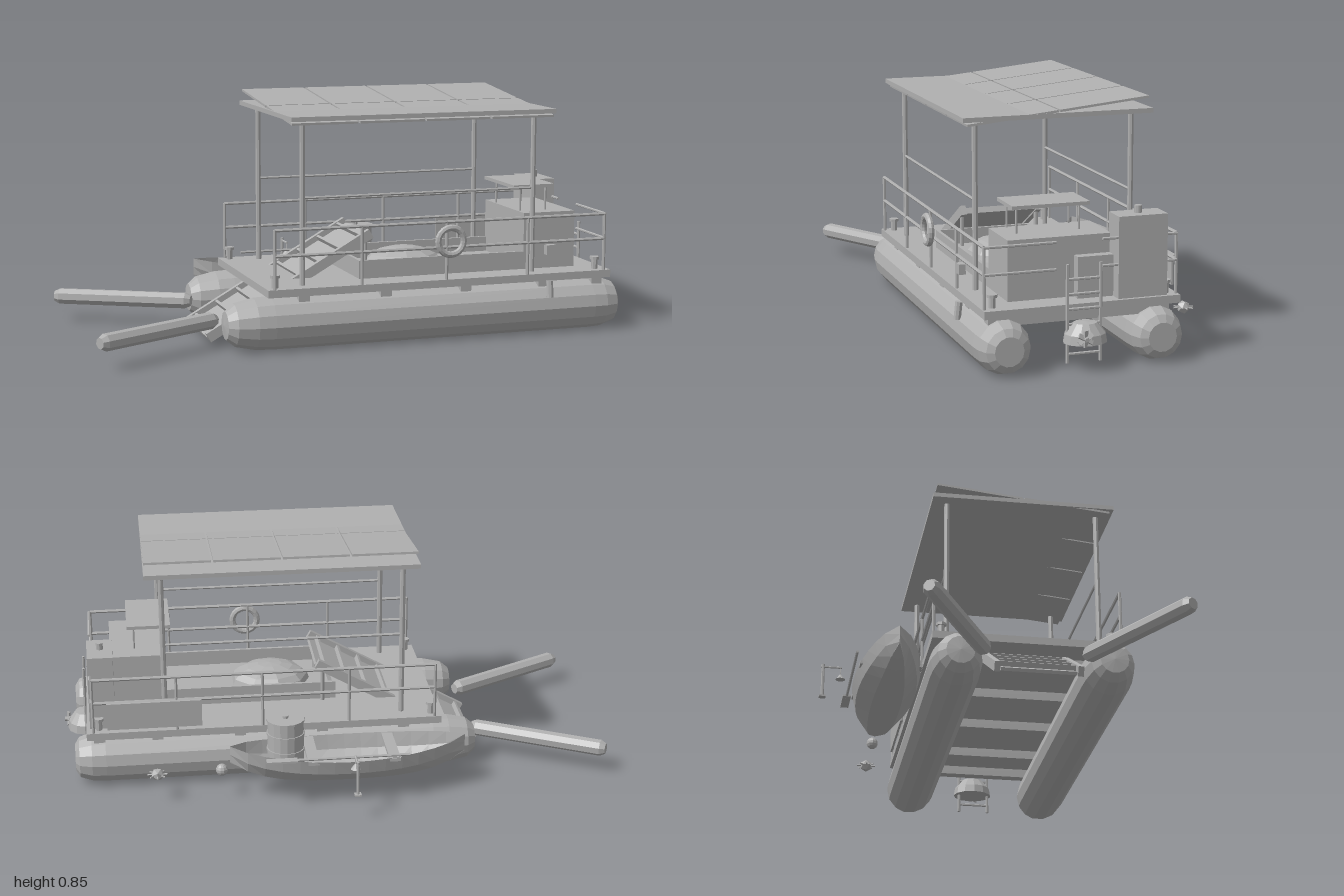
import * as THREE from 'three';

export function createModel() {
  const root = new THREE.Group();
  root.name = 'pontoonBoat';
  const grey = new THREE.MeshStandardMaterial({ color: 0xb0b0b0, flatShading: true, side: THREE.DoubleSide });
  grey.name = 'grey';

  const add = (name, geo, x = 0, y = 0, z = 0) => {
    const m = new THREE.Mesh(geo, grey);
    m.name = name;
    m.position.set(x, y, z);
    root.add(m);
    return m;
  };
  // Box from minimum and maximum corners
  const box = (name, x0, x1, y0, y1, z0, z1) =>
    add(name, new THREE.BoxGeometry(x1 - x0, y1 - y0, z1 - z0), (x0 + x1) / 2, (y0 + y1) / 2, (z0 + z1) / 2);
  // Round bar between two points
  const bar = (name, a, b, r, sides = 6) => {
    const p = new THREE.Vector3(...a), q = new THREE.Vector3(...b);
    const d = q.clone().sub(p);
    const m = add(name, new THREE.CylinderGeometry(r, r, d.length(), sides));
    m.position.copy(p).add(q).multiplyScalar(0.5);
    m.quaternion.setFromUnitVectors(new THREE.Vector3(0, 1, 0), d.normalize());
    return m;
  };
  const lathe = (pts, sides) => new THREE.LatheGeometry(pts.map(p => new THREE.Vector2(...p)), sides);

  // Twin floats with rounded ends
  const floatShape = lathe([[0, -0.525], [0.05, -0.52], [0.075, -0.49], [0.09, -0.42],
    [0.093, -0.36], [0.093, 0.84], [0.09, 0.89], [0.075, 0.935], [0.05, 0.95], [0, 0.95]], 14);
  floatShape.rotateZ(-Math.PI / 2);
  for (const z of [0.4, -0.13]) add('pontoon', floatShape, 0, 0.098, z);

  // Collecting booms spread ahead of the floats
  for (const s of [1, -1]) {
    const zc = 0.125;
    const a = new THREE.Vector3(-0.53, 0.1, zc + s * 0.175), b = new THREE.Vector3(-0.985, 0.1, zc + s * 0.425);
    const L = a.distanceTo(b);
    const boom = add('boom', lathe([[0, -L / 2], [0.02, -L / 2], [0.03, -L / 2 + 0.02],
      [0.03, L / 2 - 0.02], [0.02, L / 2], [0, L / 2]], 8));
    boom.position.copy(a).add(b).multiplyScalar(0.5);
    boom.quaternion.setFromUnitVectors(new THREE.Vector3(0, 1, 0), b.sub(a).normalize());
  }

  // Deck and cross beams
  box('deck', -0.385, 0.905, 0.198, 0.225, -0.21, 0.47);
  for (const x of [-0.25, 0.05, 0.35, 0.65, 0.86]) box('crossBeam', x - 0.02, x + 0.02, 0.165, 0.198, -0.18, 0.45);

  // Inclined conveyor running from the water up over the deck
  const slope = Math.atan2(0.34, 0.6), len = 0.69;
  const conveyor = new THREE.Group();
  conveyor.name = 'conveyor';
  const part = (name, w, h, d, x, y, z) => {
    const m = new THREE.Mesh(new THREE.BoxGeometry(w, h, d), grey);
    m.name = name;
    m.position.set(x, y, z);
    conveyor.add(m);
  };
  part('belt', len, 0.012, 0.26, 0, 0, 0);
  for (const z of [-0.143, 0.143]) part('conveyorSide', len, 0.035, 0.02, 0, 0.008, z);
  for (let i = 0; i < 8; i++) part('cleat', 0.01, 0.02, 0.26, -0.31 + i * 0.089, 0.014, 0);
  conveyor.position.set(-0.245, 0.195, 0.132);
  conveyor.rotation.z = slope;
  root.add(conveyor);
  for (const z of [-0.01, 0.275]) bar('conveyorLeg', [0.03, 0.225, z], [0.03, 0.345, z], 0.008);

  // Open waste bin with a low heap inside
  box('binFloor', -0.02, 0.62, 0.225, 0.235, 0, 0.36);
  for (const z of [0, 0.348]) box('binSide', -0.02, 0.8, 0.225, 0.29, z, z + 0.012);
  box('binEnd', -0.02, -0.008, 0.225, 0.29, 0, 0.36);
  const heap = add('wasteHeap', new THREE.SphereGeometry(1, 9, 5, 0, Math.PI * 2, 0, Math.PI / 2), 0.21, 0.235, 0.18);
  heap.scale.set(0.15, 0.07, 0.13);

  // Control cabin with a small canopy
  box('cabin', 0.61, 0.81, 0.225, 0.43, 0, 0.36);
  box('locker', 0.76, 0.845, 0.225, 0.365, 0.0, 0.13);
  box('canopy', 0.585, 0.745, 0.515, 0.527, 0.05, 0.322);
  for (const x of [0.62, 0.72]) for (const z of [0.08, 0.3]) bar('canopyPost', [x, 0.43, z], [x, 0.515, z], 0.004);

  // Engine housing and exhaust
  box('engineHousing', 0.8, 0.892, 0.225, 0.5, -0.167, 0.005);
  bar('exhaust', [0.845, 0.5, -0.08], [0.845, 0.525, -0.08], 0.013, 10);

  // Roof, its posts and tilted panels
  box('roof', -0.3, 0.68, 0.8, 0.816, -0.2, 0.468);
  for (const x of [-0.245, 0.62]) for (const z of [0.41, -0.143]) bar('roofPost', [x, 0.22, z], [x, 0.8, z], 0.01, 8);
  for (const z of [0.41, -0.143]) bar('roofTie', [-0.245, 0.53, z], [0.62, 0.53, z], 0.005);
  for (let i = 0; i < 4; i++) {
    const x = -0.175 + i * 0.245;
    for (const [z, y] of [[-0.027, 0.839], [0.295, 0.806]]) {
      const panel = add('solarPanel', new THREE.BoxGeometry(0.237, 0.008, 0.317), x, y, z);
      panel.rotation.x = 0.102;
    }
  }

  // Guard rails on both sides and at the stern
  for (const z of [0.463, -0.203]) {
    for (const x of [-0.36, -0.045, 0.27, 0.58, 0.88]) bar('railPost', [x, 0.22, z], [x, 0.432, z], 0.006);
    for (const y of [0.34, 0.43]) bar('rail', [-0.36, y, z], [0.88, y, z], 0.006);
  }
  for (const [z0, z1] of [[0.22, 0.463], [-0.203, 0.06]])
    for (const y of [0.34, 0.43]) bar('sternRail', [0.885, y, z0], [0.885, y, z1], 0.005);

  // Mooring posts
  for (const x of [-0.35, 0.86]) for (const z of [0.43, -0.175]) {
    bar('bollard', [x, 0.225, z], [x, 0.26, z], 0.012, 8);
    bar('bollardCap', [x, 0.26, z], [x, 0.27, z], 0.018, 8);
  }

  // Life ring, side box, fender and rail board
  add('lifeRing', new THREE.TorusGeometry(0.048, 0.012, 8, 20), 0.28, 0.363, 0.478);
  box('sideBox', 0.645, 0.68, 0.295, 0.33, 0.462, 0.485);
  bar('fender', [0.66, 0.14, 0.487], [0.66, 0.2, 0.48], 0.013, 8);
  box('railBoard', 0.49, 0.83, 0.24, 0.34, -0.217, -0.209);

  // Stern ladder
  for (const z of [0.075, 0.19]) bar('ladderRail', [0.91, 0.03, z], [0.91, 0.36, z], 0.006);
  for (let i = 0; i < 6; i++) bar('ladderRung', [0.91, 0.06 + i * 0.05, 0.075], [0.91, 0.06 + i * 0.05, 0.19], 0.005);

  // Drive pod and propeller
  const pod = add('drivePod', lathe([[0, 0], [0.075, 0], [0.07, 0.03], [0.04, 0.065], [0, 0.068]], 12), 0.915, 0.1, 0.13);
  pod.scale.x = 0.85;
  bar('propellerShaft', [0.93, 0.125, 0.15], [0.99, 0.125, 0.15], 0.008);
  for (let i = 0; i < 3; i++) {
    const blade = add('propellerBlade', new THREE.BoxGeometry(0.006, 0.055, 0.016), 0.975, 0.125, 0.15);
    blade.rotation.set(i * Math.PI / 3, 0.5, 0);
  }

  // Double-ended dinghy hull built from cross-sections
  const N = 14, ribs = [[-1, 1], [-0.88, 0.5], [-0.45, 0.06], [0, 0], [0.45, 0.06], [0.88, 0.5], [1, 1]];
  const pos = [], idx = [], R = ribs.length;
  for (let i = 0; i <= N; i++) {
    const t = -1 + 2 * i / N, w = 0.118 * Math.pow(1 - t * t, 0.7);
    const keel = 0.07 + 0.07 * t * t * t * t, rim = 0.175 + 0.03 * t * t;
    for (const [a, h] of ribs) pos.push(-0.025 + 0.425 * t, keel + (rim - keel) * h, -0.33 + a * w);
  }
  for (let i = 0; i < N; i++) for (let j = 0; j < R - 1; j++) {
    const a = i * R + j, b = a + R;
    idx.push(a, b, a + 1, b, b + 1, a + 1);
  }
  const hull = new THREE.BufferGeometry();
  hull.setAttribute('position', new THREE.Float32BufferAttribute(pos, 3));
  hull.setIndex(idx);
  hull.computeVertexNormals();
  add('dinghyHull', hull);
  for (const x of [-0.18, 0.11]) box('thwart', x - 0.02, x + 0.02, 0.165, 0.177, -0.44, -0.22);

  // Barrel carried in the dinghy
  add('barrel', new THREE.CylinderGeometry(0.065, 0.065, 0.18, 16), 0.2, 0.215, -0.33);
  for (const y of [0.19, 0.25, 0.302]) add('barrelHoop', new THREE.CylinderGeometry(0.069, 0.069, 0.008, 16), 0.2, y, -0.33);
  bar('barrelCap', [0.2, 0.305, -0.33], [0.2, 0.315, -0.33], 0.01, 8);

  // Oar on the outer gunwale
  bar('oarShaft', [-0.23, 0.197, -0.453], [0.2, 0.197, -0.453], 0.005);
  box('oarBlade', 0.17, 0.28, 0.193, 0.2, -0.468, -0.438);

  // Lantern pole beside the dinghy
  bar('lanternPole', [-0.03, 0.105, -0.558], [-0.03, 0.228, -0.558], 0.006);
  box('poleFoot', -0.042, -0.018, 0.1, 0.106, -0.57, -0.546);
  bar('lanternArm', [-0.03, 0.218, -0.565], [-0.03, 0.218, -0.49], 0.004);
  bar('lanternHook', [-0.03, 0.218, -0.495], [-0.03, 0.192, -0.495], 0.002);
  add('lanternShade', new THREE.ConeGeometry(0.018, 0.022, 10), -0.03, 0.183, -0.495);

  // Floating markers
  add('buoy', new THREE.SphereGeometry(0.022, 10, 7), 0.43, 0.115, -0.33);
  add('marker', new THREE.IcosahedronGeometry(0.024, 0), 0.66, 0.11, -0.33);
  for (let i = 0; i < 8; i++) {
    const a = i * Math.PI / 4;
    bar('markerSpike', [0.66, 0.11, -0.33], [0.66 + 0.036 * Math.cos(a), 0.11, -0.33 + 0.036 * Math.sin(a)], 0.003, 4);
  }
  return root;
}
